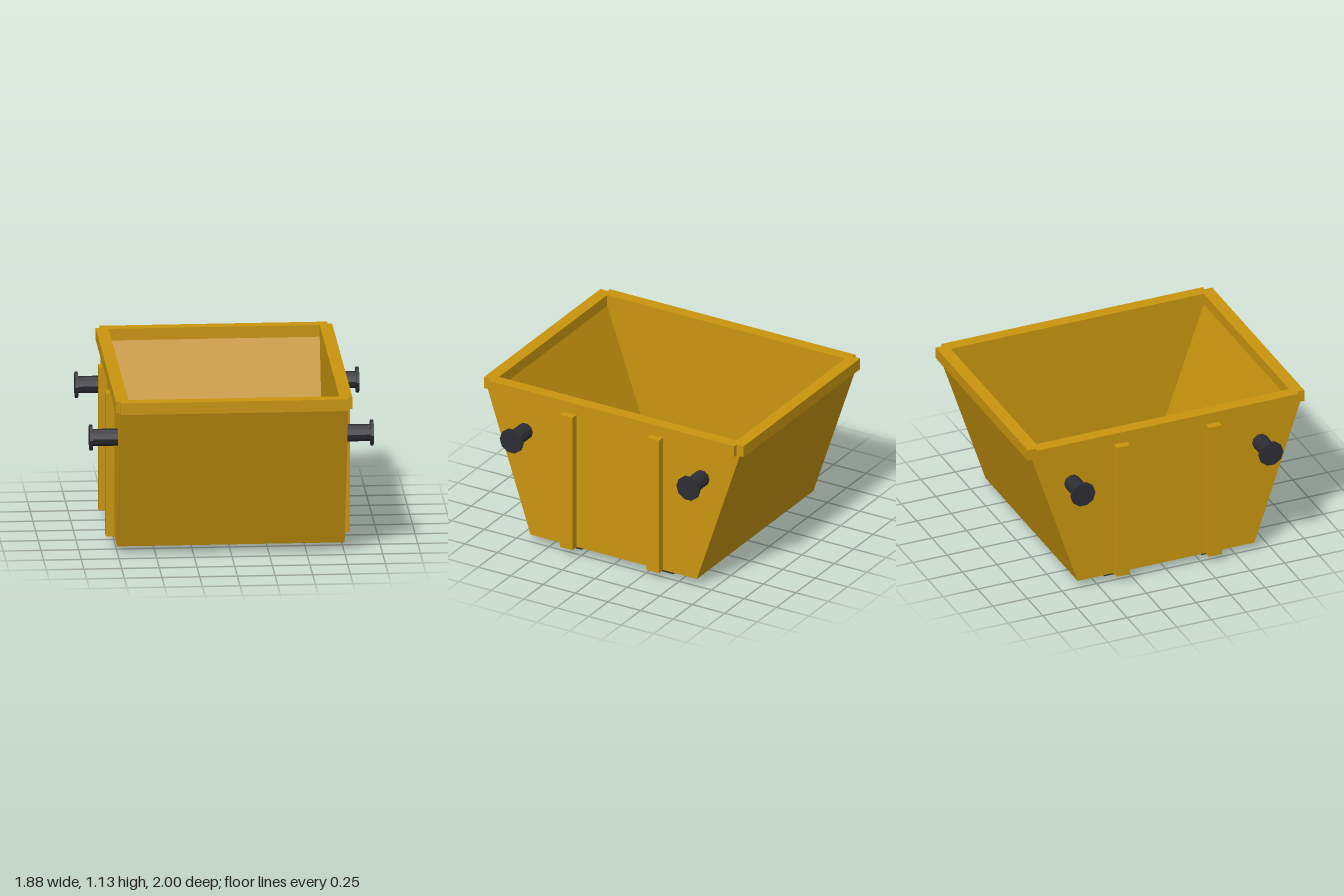
import * as THREE from 'three';

const yellow = new THREE.MeshStandardMaterial({ color: 0xc9950f });
yellow.name = 'yellow paint';
const dark = new THREE.MeshStandardMaterial({ color: 0x2d2d35 });
dark.name = 'dark steel';

export function createModel() {
  const group = new THREE.Group();
  group.name = 'skip';

  const add = (name, geometry, material, x, y, z) => {
    const mesh = new THREE.Mesh(geometry, material);
    mesh.name = name;
    mesh.position.set(x, y, z);
    group.add(mesh);
    return mesh;
  };

  // Box given by its limits on each axis
  const box = (name, material, [x0, x1], [y0, y1], [z0, z1]) =>
    add(name, new THREE.BoxGeometry(x1 - x0, y1 - y0, z1 - z0), material,
      (x0 + x1) / 2, (y0 + y1) / 2, (z0 + z1) / 2);

  // Side profile of [z, y] points, extruded along x from x0 to x1
  const slab = (name, points, x0, x1) => {
    const shape = new THREE.Shape(points.map(([z, y]) => new THREE.Vector2(-z, y)));
    const geometry = new THREE.ExtrudeGeometry(shape, { depth: x1 - x0, bevelEnabled: false });
    geometry.rotateY(Math.PI / 2);
    add(name, geometry, yellow, x0, 0, 0);
  };

  const base = 0.055, top = 1.05;

  // Floor and sloping end walls in one U-shaped section
  slab('floorAndEndWalls', [
    [-0.64, base], [0.64, base], [0.97, top], [0.915, top],
    [0.585, 0.11], [-0.585, 0.11], [-0.915, top], [-0.97, top],
  ], -0.7, 0.7);

  // Trapezoid side walls
  const side = [[-0.64, base], [0.64, base], [0.97, top], [-0.97, top]];
  slab('leftWall', side, 0.7, 0.755);
  slab('rightWall', side, -0.755, -0.7);

  for (const s of [-1, 1]) {
    const span = (a, b) => (s > 0 ? [a, b] : [-b, -a]);

    // Rim bars with notched corners
    box('sideRim', yellow, span(0.7, 0.785), [top, 1.13], [-0.945, 0.945]);
    box('endRim', yellow, [-0.755, 0.755], [top, 1.13], span(0.915, 1));

    // Skids under the floor
    box('skid', dark, [-0.68, 0.68], [0, base], span(0.29, 0.415));

    for (const t of [-1, 1]) {
      // Upright ribs on the side walls
      box('rib', yellow, span(0.755, 0.81), [base, 1.035], t > 0 ? [0.285, 0.38] : [-0.38, -0.285]);

      // Lifting pins with end caps
      const pin = (name, r, a, b) => {
        const geometry = new THREE.CylinderGeometry(r, r, b - a, 10).toNonIndexed();
        geometry.computeVertexNormals();
        add(name, geometry, dark, s * (a + b) / 2, 0.815, t * 0.68).rotation.z = -Math.PI / 2;
      };
      pin('liftingPin', 0.057, 0.75, 0.925);
      pin('pinCap', 0.087, 0.922, 0.942);
    }
  }
  return group;
}
